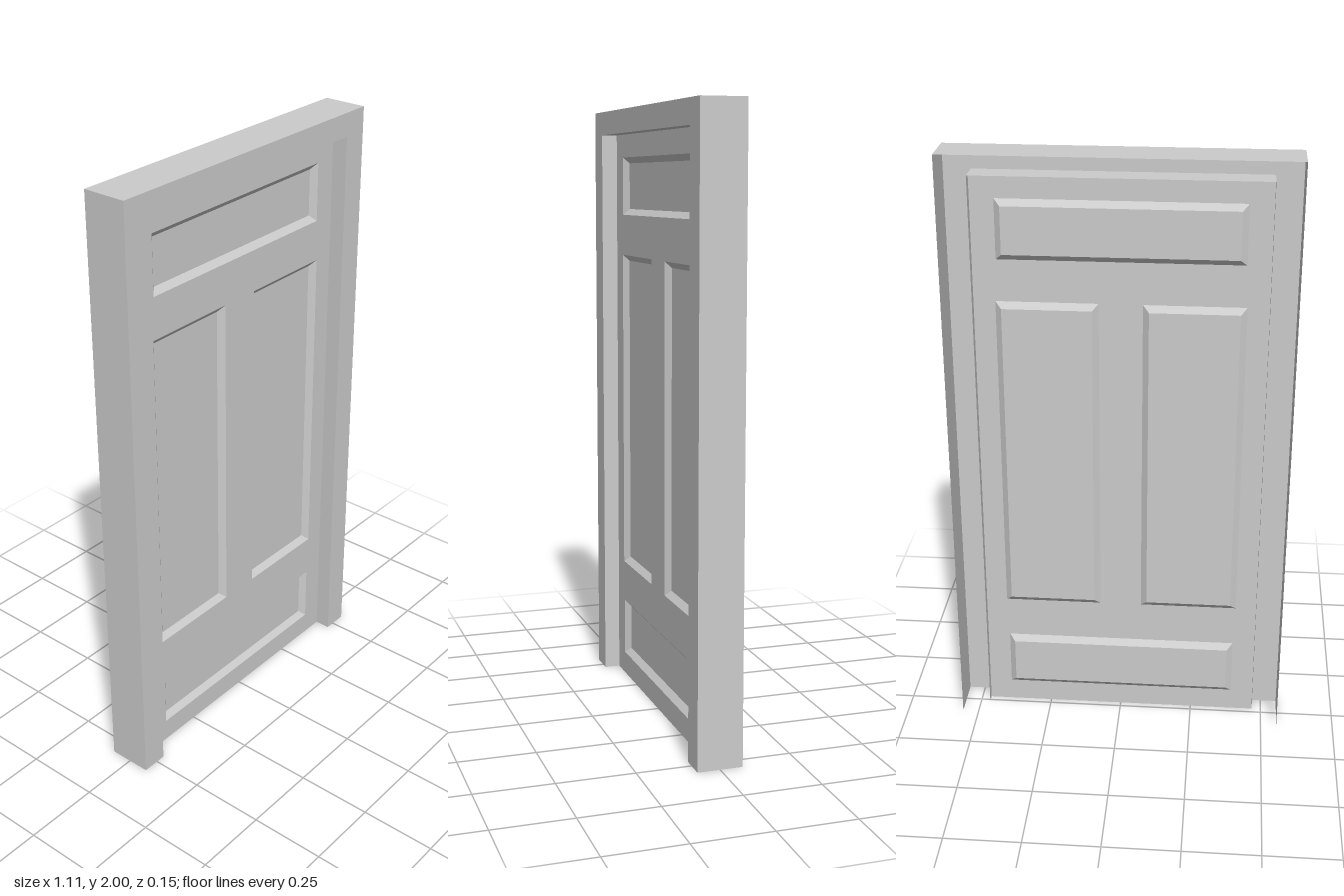
import * as THREE from 'three';

const material = new THREE.MeshStandardMaterial({
  color: 0xcccccc, flatShading: true, side: THREE.DoubleSide,
});

// Key sizes
const W = 0.555, H = 2, OPEN_W = 0.468, OPEN_H = 1.922;
const FRONT = 0.073, BACK = -0.073, JAMB_BACK = -0.01, DOOR_Z = 0.02;
const BEVEL = 0.02, RECESS = 0.018;

function addMesh(parent, name, geometry) {
  const mesh = new THREE.Mesh(geometry, material);
  mesh.name = name;
  parent.add(mesh);
  return mesh;
}

// Strip of quads between two matching rows of [x, y], each at its own z
function strip(rowA, zA, rowB, zB, closed = false) {
  const pos = [];
  const n = rowA.length;
  for (let i = 0; i < (closed ? n : n - 1); i++) {
    const j = (i + 1) % n;
    const a = [...rowA[i], zA], b = [...rowA[j], zA];
    const c = [...rowB[j], zB], d = [...rowB[i], zB];
    pos.push(...a, ...b, ...c, ...a, ...c, ...d);
  }
  const g = new THREE.BufferGeometry();
  g.setAttribute('position', new THREE.Float32BufferAttribute(pos, 3));
  g.computeVertexNormals();
  return g;
}

const archPath = (w, h) => [[-w, 0], [-w, h], [w, h], [w, 0]];
const rectPath = (x0, y0, x1, y1) => [[x0, y0], [x1, y0], [x1, y1], [x0, y1]];
const toVectors = (path) => path.map(([x, y]) => new THREE.Vector2(x, y));

export function createModel() {
  const model = new THREE.Group();
  model.name = 'panelDoor';

  // Frame: a thin shell, open at the back and underneath
  const frame = new THREE.Group();
  frame.name = 'frame';
  model.add(frame);
  const outer = archPath(W, H), inner = archPath(OPEN_W, OPEN_H);
  addMesh(frame, 'frameOuterWalls', strip(outer, FRONT, outer, BACK));
  addMesh(frame, 'frameJamb', strip(inner, JAMB_BACK, inner, FRONT));
  addMesh(frame, 'frameFace', strip(inner, FRONT, outer, FRONT));

  // Door sheet with openings for the pressed panels
  const door = new THREE.Group();
  door.name = 'door';
  door.position.z = DOOR_Z;
  model.add(door);
  const panels = {
    topPanel: [-0.392, 1.65, 0.392, 1.845],
    rightPanel: [-0.398, 0.415, -0.07, 1.512],
    leftPanel: [0.07, 0.415, 0.398, 1.512],
    bottomPanel: [-0.392, 0.077, 0.392, 0.272],
  };
  const sheet = new THREE.Shape(toVectors(inner));
  for (const rect of Object.values(panels)) {
    sheet.holes.push(new THREE.Path(toVectors(rectPath(...rect))));
  }
  addMesh(door, 'doorSheet', new THREE.ShapeGeometry(sheet));

  // Recessed panels with sloping borders
  for (const [name, [x0, y0, x1, y1]] of Object.entries(panels)) {
    const rim = rectPath(x0, y0, x1, y1);
    const floor = rectPath(x0 + BEVEL, y0 + BEVEL, x1 - BEVEL, y1 - BEVEL);
    addMesh(door, name + 'Bevel', strip(rim, 0, floor, -RECESS, true));
    const face = new THREE.ShapeGeometry(new THREE.Shape(toVectors(floor)));
    addMesh(door, name, face).position.z = -RECESS;
  }
  return model;
}
